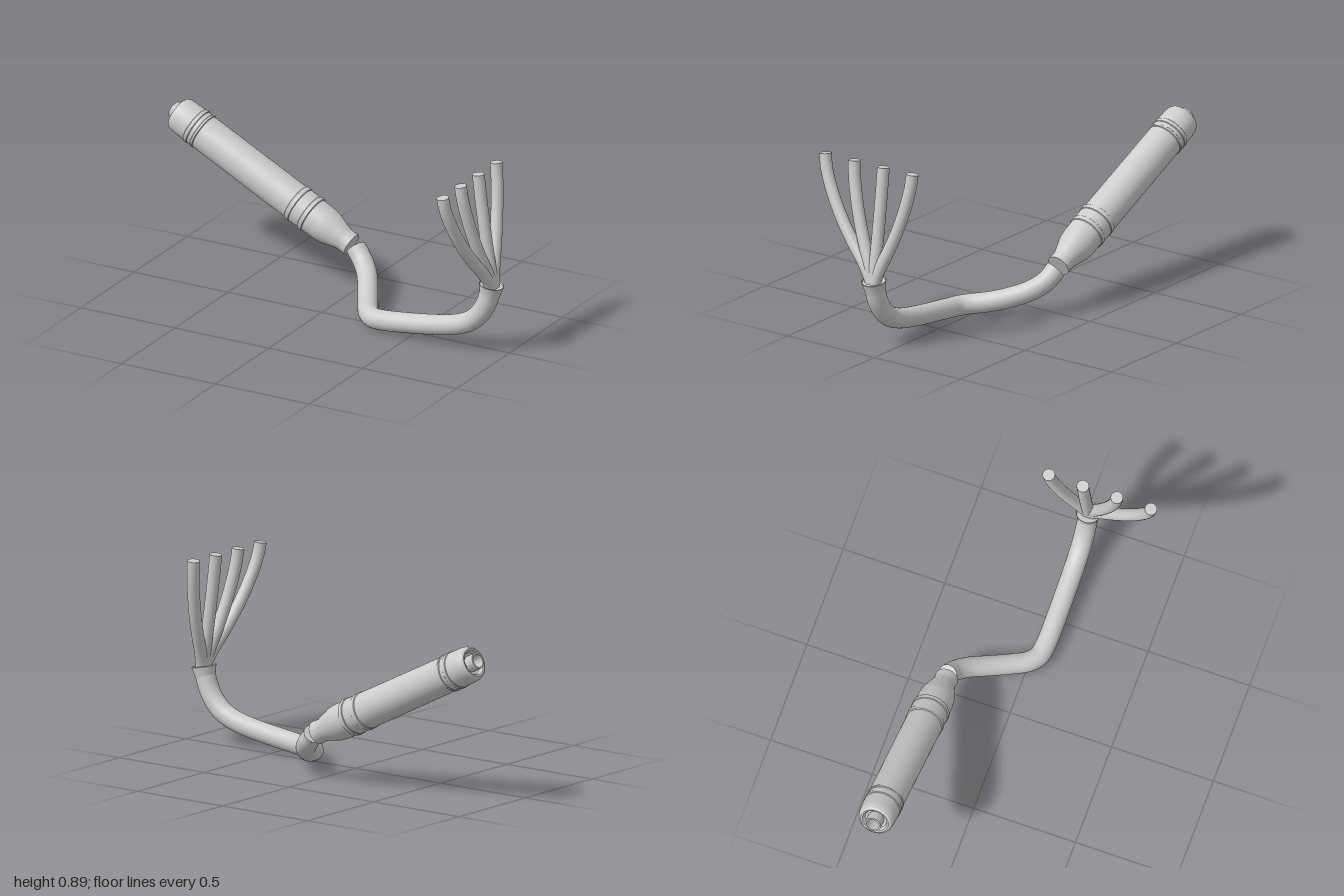
import * as THREE from 'three';
import { toCreasedNormals } from 'three/addons/utils/BufferGeometryUtils.js';

const V = (x, y, z) => new THREE.Vector3(x, y, z);
const steel = new THREE.MeshStandardMaterial({ color: 0xcccccc });
steel.name = 'steel';

// Turned part whose profile of [radius, distance] runs from one point towards another
function turned(name, profile, from, to) {
  const points = profile.map(([r, t]) => new THREE.Vector2(r, t));
  const geometry = toCreasedNormals(new THREE.LatheGeometry(points, 48), 0.4);
  const mesh = new THREE.Mesh(geometry, steel);
  mesh.name = name;
  mesh.position.copy(from);
  mesh.quaternion.setFromUnitVectors(V(0, 1, 0), to.clone().sub(from).normalize());
  return mesh;
}

// Round pipe along a smooth path, closed with a disc at both ends
function pipe(name, points, radius, segments) {
  const group = new THREE.Group();
  group.name = name;
  const curve = new THREE.CatmullRomCurve3(points, false, 'centripetal');
  const tube = new THREE.Mesh(new THREE.TubeGeometry(curve, segments, radius, 28), steel);
  tube.name = name + 'Tube';
  group.add(tube);
  for (const end of [0, 1]) {
    const cap = new THREE.Mesh(new THREE.CircleGeometry(radius, 28), steel);
    cap.name = name + 'Cap';
    cap.position.copy(curve.getPointAt(end));
    const out = curve.getTangentAt(end).multiplyScalar(end ? 1 : -1);
    cap.quaternion.setFromUnitVectors(V(0, 0, 1), out);
    group.add(cap);
  }
  return group;
}

export function createModel() {
  const model = new THREE.Group();
  model.name = 'exhaustSystem';

  // Muffler: hollow outlet tip, rounded end cap, clamp bands and inlet cone
  model.add(turned('muffler', [
    [0, 0.12], [0.031, 0.12], [0.031, 0], [0.039, 0], [0.039, 0.05],
    [0.052, 0.045], [0.06, 0.028], [0.068, 0.026], [0.077, 0.032], [0.083, 0.045], [0.086, 0.065],
    [0.087, 0.13], [0.09, 0.133], [0.09, 0.15], [0.087, 0.153],
    [0.087, 0.172], [0.09, 0.175], [0.09, 0.185], [0.086, 0.188],
    [0.087, 0.74], [0.091, 0.743], [0.091, 0.765], [0.088, 0.768],
    [0.088, 0.82], [0.091, 0.823], [0.091, 0.843], [0.086, 0.846],
    [0.085, 0.91], [0.081, 0.945], [0.056, 1.025], [0.054, 1.045], [0.056, 1.075], [0, 1.075],
  ], V(-0.977, 0.71, -0.327), V(-0.015, 0.23, -0.306)));

  // Main pipe from the muffler inlet to the collector
  model.add(pipe('mainPipe', [
    V(0.007, 0.22, -0.308), V(0.05, 0.176, -0.29), V(0.1, 0.134, -0.245), V(0.16, 0.09, -0.15),
    V(0.21, 0.065, -0.063), V(0.25, 0.054, 0.002), V(0.295, 0.05, 0.038), V(0.36, 0.054, 0.049),
    V(0.5, 0.07, 0.052), V(0.65, 0.092, 0.052), V(0.75, 0.115, 0.052), V(0.82, 0.146, 0.052),
    V(0.87, 0.192, 0.052), V(0.905, 0.25, 0.052), V(0.925, 0.31, 0.052),
  ], 0.048, 120));

  // Flared collector
  model.add(turned('collector', [
    [0, 0], [0.047, 0], [0.048, 0.008], [0.059, 0.055], [0.056, 0.057], [0.054, 0.05], [0, 0.05],
  ], V(0.924, 0.296, 0.052), V(0.934, 0.35, 0.052)));

  // Four header pipes: height, x and share of the sideways spread along each
  const path = [
    [0.32, 0.938, 0.02], [0.36, 0.936, 0.07], [0.42, 0.927, 0.19], [0.5, 0.914, 0.4],
    [0.6, 0.899, 0.63], [0.7, 0.885, 0.81], [0.8, 0.872, 0.945], [0.86, 0.865, 0.99], [0.889, 0.862, 1],
  ];
  [0.335, 0.1675, 0, -0.1675].forEach((spread, i) => {
    const points = path.map(([y, x, f]) => V(x, y, 0.05 + spread * f));
    model.add(pipe('headerPipe' + (i + 1), points, 0.029, 48));
  });

  return model;
}
